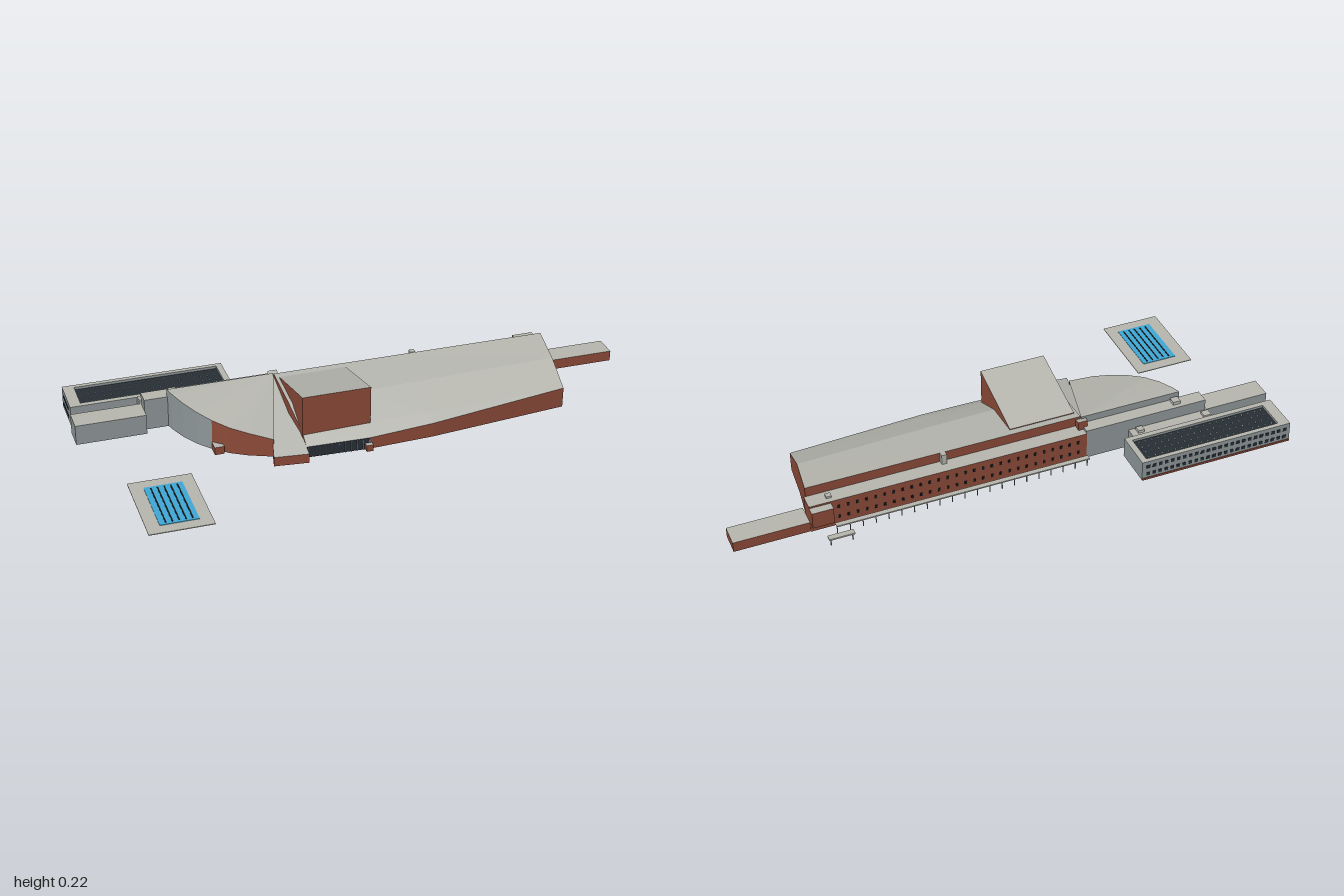
import * as THREE from 'three';
import { mergeGeometries } from 'three/addons/utils/BufferGeometryUtils.js';

const mat = (name, color) => new THREE.MeshStandardMaterial({ name, color, side: THREE.DoubleSide, flatShading: true });

export function createModel() {
  const brick = mat('brick', 0x8c4a38), roof = mat('roof', 0xb7b7b0), stone = mat('stone', 0x8f9799);
  const dark = mat('darkGlass', 0x272e35), blue = mat('water', 0x3fa9d6), black = mat('black', 0x15181a);

  // Plan axes: x runs along the spine, z across it; the whole site is turned at the end
  const site = new THREE.Group();
  site.name = 'site';

  const add = (name, geo, material) => {
    const m = new THREE.Mesh(geo, material);
    m.name = name;
    site.add(m);
    return m;
  };
  const boxGeo = (x0, x1, z0, z1, y0, y1) =>
    new THREE.BoxGeometry(x1 - x0, y1 - y0, z1 - z0).translate((x0 + x1) / 2, (y0 + y1) / 2, (z0 + z1) / 2);
  // Block with its own wall and roof colours
  const block = (name, wall, x0, x1, z0, z1, y0, y1, top = roof) =>
    add(name, boxGeo(x0, x1, z0, z1, y0, y1), [wall, wall, top, roof, wall, wall]);
  const many = (name, material, list) => add(name, mergeGeometries(list.map(b => boxGeo(...b))), material);
  // Faceted sheet stretched between rails of equal length
  const sheet = (name, material, rails) => {
    const pos = [];
    for (let i = 0; i + 1 < rails.length; i++)
      for (let j = 0; j + 1 < rails[i].length; j++) {
        const a = rails[i][j], b = rails[i][j + 1], c = rails[i + 1][j + 1], d = rails[i + 1][j];
        pos.push(...a, ...d, ...b, ...b, ...d, ...c);
      }
    const g = new THREE.BufferGeometry();
    g.setAttribute('position', new THREE.Float32BufferAttribute(pos, 3));
    g.computeVertexNormals();
    return add(name, g, material);
  };
  const wall = (name, material, top) => sheet(name, material, [top, top.map(p => [p[0], 0, p[2]])]);

  // Long spine, stepping down at both ends
  block('spineSouth', stone, -0.875, -0.615, -0.087, 0, 0, 0.077);
  block('spineStep', stone, -0.615, -0.13, -0.087, -0.03, 0, 0.122);
  block('spineMain', brick, -0.13, 0.93, -0.09, -0.03, 0, 0.112);
  block('spineNorth', brick, 0.93, 1.21, -0.087, 0, 0, 0.04);
  block('rearPorch', brick, 0.85, 0.93, -0.122, -0.09, 0.04, 0.105);
  block('link', stone, -0.62, -0.3, -0.135, -0.087, 0, 0.076);

  // Main hall: four roof rails from ridge to eave
  const ridge = [[0.924, 0.15, -0.03], [0.362, 0.15, -0.03], [0.12, 0.15, -0.03], [-0.13, 0.15, -0.03]];
  const upper = [[0.903, 0.132, 0.132], [0.362, 0.132, 0.15], [0.12, 0.132, 0.155], [-0.13, 0.132, 0.16]];
  const lower = [[0.892, 0.079, 0.267], [0.362, 0.077, 0.285], [0.12, 0.077, 0.28], [-0.115, 0.077, 0.27]];
  const eave = [[0.892, 0.078, 0.269], [0.362, 0.055, 0.326], [0.12, 0.045, 0.337], [-0.115, 0.043, 0.327]];
  const rails = [ridge, upper, lower, eave];
  sheet('hallRoof', roof, rails);
  wall('hallEndNorth', brick, rails.map(r => r[0]));
  wall('hallEndSouth', brick, rails.map(r => r[3]));
  wall('hallBack', brick, ridge);
  wall('hallFront', brick, eave.slice(0, 3));
  wall('foyerGlass', dark, eave.slice(2));
  const mullions = [];
  for (let i = 0; i <= 10; i++) {
    const x = -0.11 + i * 0.0225, z = 0.328 + (x + 0.11) * 0.04;
    mullions.push([x, x + 0.002, z, z + 0.004, 0, 0.042]);
  }
  many('foyerMullions', stone, mullions);

  // Tower with a roof that rises to the front
  const tower = boxGeo(-0.117, 0.137, 0, 0.285, 0, 0.22), tp = tower.attributes.position;
  for (let i = 0; i < tp.count; i++) if (tp.getY(i) > 0.2 && tp.getZ(i) < 0.1) tp.setY(i, 0.15);
  tower.computeVertexNormals();
  add('tower', tower, [brick, brick, roof, roof, brick, brick]);

  // Wedge wing falling to the front
  const wedgeA = [[-0.145, 0.148, -0.06], [-0.242, 0.036, 0.349]];
  const wedgeB = [[-0.11, 0.148, -0.06], [-0.116, 0.036, 0.363]];
  sheet('wedgeRoof', roof, [wedgeA, wedgeB]);
  wall('wedgeWalls', brick, [wedgeB[0], wedgeA[0], wedgeA[1], wedgeB[1], wedgeB[0]]);

  // Rounded wing: roof fans out from the hall to a curved wall
  const rim = [[-0.53, 0.15, -0.035], [-0.52, 0.148, 0.0], [-0.495, 0.141, 0.062], [-0.46, 0.131, 0.122],
    [-0.418, 0.118, 0.172], [-0.365, 0.104, 0.218], [-0.307, 0.091, 0.252], [-0.223, 0.07, 0.287]];
  const hub = [-0.13, 0.15, -0.035];
  sheet('roundRoof', roof, [rim.map(() => hub), rim]);
  wall('roundWallStone', stone, rim.slice(0, 5));
  wall('roundWallBrick', brick, rim.slice(4));
  wall('roundBack', stone, [hub, rim[0]]);
  block('roundPorch', brick, -0.42, -0.385, 0.175, 0.215, 0, 0.03);
  block('sidePorch', brick, 0.1, 0.125, 0.33, 0.355, 0, 0.025);

  // Flat annex with parapet and dark roof field
  const [ax0, ax1, az0, az1] = [-0.867, -0.262, -0.288, -0.131];
  const ring = [[ax0, 0.08, az0], [ax1, 0.08, az0], [ax1, 0.08, az1], [ax0, 0.08, az1], [ax0, 0.08, az0]];
  const inner = [[-0.825, 0.08, -0.27], [-0.285, 0.08, -0.27], [-0.285, 0.08, -0.152], [-0.825, 0.08, -0.152], [-0.825, 0.08, -0.27]];
  wall('annexWalls', stone, ring);
  sheet('annexParapet', roof, [ring, inner]);
  sheet('annexParapetInside', stone, [inner, inner.map(p => [p[0], 0.07, p[2]])]);
  add('annexRoofField', boxGeo(-0.825, -0.285, -0.27, -0.152, 0.066, 0.07), dark);
  const dots = [];
  for (let i = 0; i < 20; i++)
    for (let j = 0; j < 4; j++) {
      const x = -0.81 + i * 0.0265, z = -0.255 + j * 0.029;
      dots.push([x, x + 0.004, z, z + 0.004, 0.07, 0.073]);
    }
  many('annexRooflights', roof, dots);
  many('annexBase', brick, [[ax0, ax1, az0 - 0.003, az0, 0, 0.008]]);
  const panes = [];
  for (const y of [0.018, 0.05]) {
    panes.push([ax0 - 0.002, ax0, -0.262, -0.165, y, y + 0.01]);
    for (let i = 0; i < 24; i++) {
      const x = ax0 + 0.015 + i * 0.0243;
      panes.push([x, x + 0.014, az0 - 0.002, az0, y, y + 0.013]);
    }
  }
  many('annexWindows', dark, panes);

  // Windows along the rear of the spine
  const rear = [];
  for (let i = 0; i < 28; i++) {
    const x = -0.1 + i * 0.034;
    for (const y of [0.03, 0.075]) rear.push([x, x + 0.009, -0.092, -0.09, y, y + 0.013]);
  }
  many('rearWindows', black, rear);

  // Rear covered walk on posts, with a short detached shelter
  add('walkRoof', boxGeo(-0.12, 0.85, -0.142, -0.122, 0.034, 0.039), roof);
  add('shelterRoof', boxGeo(0.8, 0.895, -0.197, -0.174, 0.03, 0.036), roof);
  const posts = [];
  for (let i = 0; i <= 20; i++) {
    const x = -0.115 + i * 0.048;
    posts.push([x, x + 0.003, -0.134, -0.131, 0, 0.034]);
  }
  for (const x of [0.805, 0.885]) posts.push([x, x + 0.004, -0.188, -0.184, 0, 0.03]);
  many('walkPosts', stone, posts);

  // Small roof plant
  many('roofPlant', roof, [[-0.52, -0.49, -0.07, -0.04, 0.12, 0.135], [-0.35, -0.325, -0.12, -0.095, 0.075, 0.088],
    [0.84, 0.86, -0.07, -0.05, 0.11, 0.12], [0.4, 0.42, -0.05, -0.03, 0.11, 0.152], [-0.62, -0.59, -0.13, -0.1, 0.076, 0.085]]);

  // Outdoor pool with lane lines
  add('poolDeck', boxGeo(-0.76, -0.53, 0.31, 0.638, 0, 0.003), roof);
  add('poolWater', boxGeo(-0.712, -0.574, 0.355, 0.595, 0.003, 0.005), blue);
  many('poolLanes', black, [0, 1, 2, 3, 4].map(i => {
    const x = -0.691 + i * 0.0235;
    return [x, x + 0.005, 0.365, 0.585, 0.005, 0.0065];
  }));

  site.rotation.y = Math.atan2(0.781, 0.624);
  const model = new THREE.Group();
  model.name = 'buildingComplex';
  model.add(site);
  return model;
}
